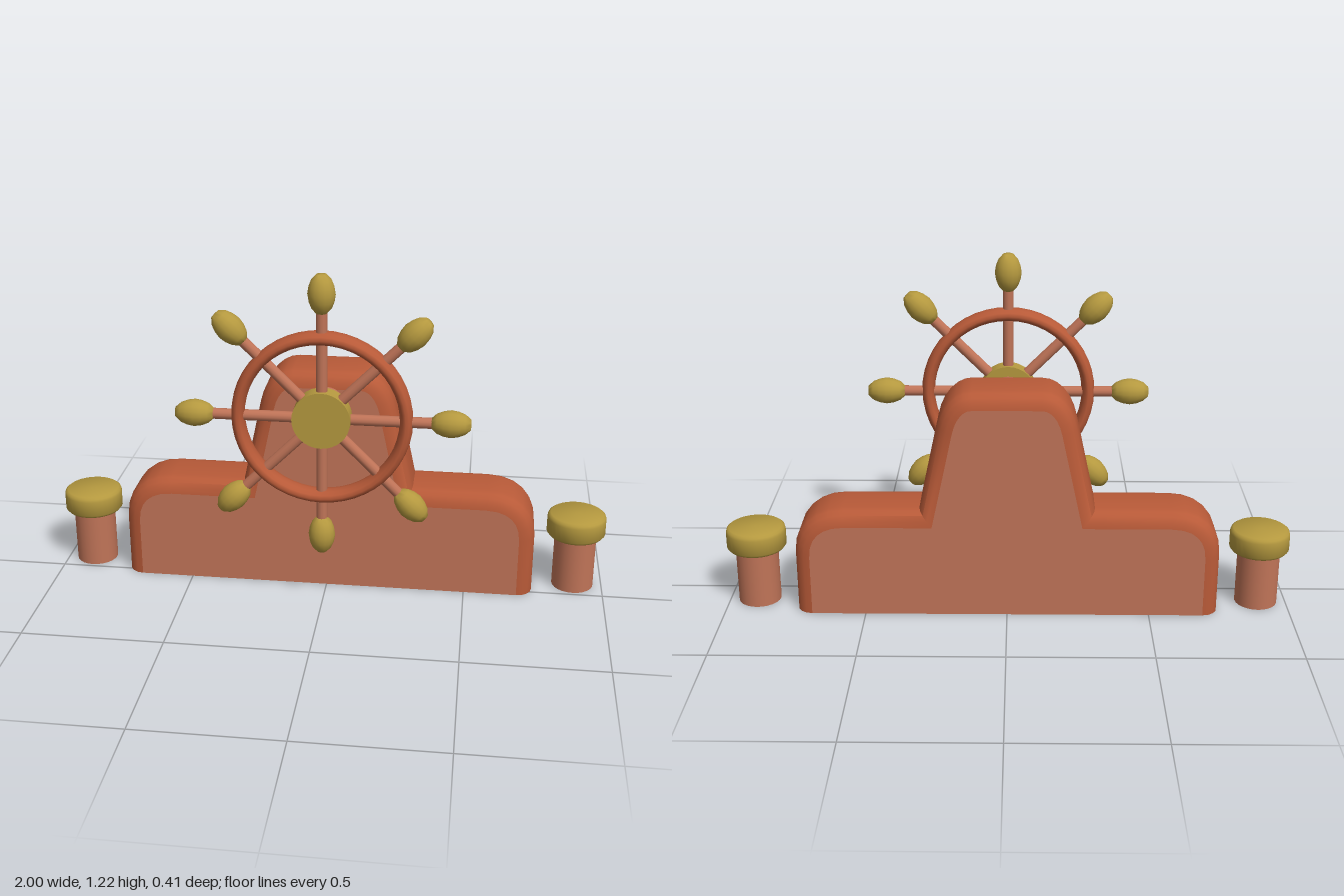
import * as THREE from 'three';
import { toCreasedNormals } from 'three/addons/utils/BufferGeometryUtils.js';

const wood = new THREE.MeshStandardMaterial({ color: 0xb85a38 });
const paleWood = new THREE.MeshStandardMaterial({ color: 0xc07458 });
const brass = new THREE.MeshStandardMaterial({ color: 0xb5993f });

function add(parent, name, geometry, material, x = 0, y = 0, z = 0) {
  const mesh = new THREE.Mesh(geometry, material);
  mesh.name = name;
  mesh.position.set(x, y, z);
  parent.add(mesh);
  return mesh;
}

// Stepped outline of the stand; it runs below the floor and is flattened to y = 0 later
function standShape() {
  const s = new THREE.Shape();
  s.moveTo(-0.745, -0.1);
  s.lineTo(0.745, -0.1);
  s.lineTo(0.745, 0.22);
  s.bezierCurveTo(0.745, 0.32, 0.68, 0.388, 0.57, 0.388);
  s.lineTo(0.305, 0.388);
  s.lineTo(0.24, 0.69);
  s.bezierCurveTo(0.225, 0.765, 0.18, 0.82, 0.12, 0.82);
  s.lineTo(-0.12, 0.82);
  s.bezierCurveTo(-0.18, 0.82, -0.225, 0.765, -0.24, 0.69);
  s.lineTo(-0.305, 0.388);
  s.lineTo(-0.57, 0.388);
  s.bezierCurveTo(-0.68, 0.388, -0.745, 0.32, -0.745, 0.22);
  s.closePath();
  return s;
}

// Splits the solid into pale flat faces (front, back, bottom) and the rounded trim
function addStand(parent) {
  const bevel = 0.055;
  const solid = new THREE.ExtrudeGeometry(standShape(), {
    depth: 0.235 - 2 * bevel, curveSegments: 6, bevelEnabled: true, bevelSegments: 4,
    bevelSize: bevel, bevelThickness: bevel, bevelOffset: -bevel,
  });
  solid.translate(0, 0, -0.205 + bevel);
  const p = solid.attributes.position;
  for (let i = 0; i < p.count; i++) p.setY(i, Math.max(0, p.getY(i)));

  const flat = [], round = [];
  const tri = new THREE.Triangle(), n = new THREE.Vector3();
  for (let i = 0; i < p.count; i += 3) {
    tri.setFromAttributeAndIndices(p, i, i + 1, i + 2);
    if (tri.getArea() < 1e-8) continue;
    tri.getNormal(n);
    const list = Math.abs(n.z) > 0.995 || n.y < -0.99 ? flat : round;
    for (const v of [tri.a, tri.b, tri.c]) list.push(v.x, v.y, v.z);
  }
  const build = (list) => {
    const g = new THREE.BufferGeometry();
    g.setAttribute('position', new THREE.Float32BufferAttribute(list, 3));
    return toCreasedNormals(g, 0.8);
  };
  add(parent, 'standPanels', build(flat), paleWood);
  add(parent, 'standTrim', build(round), wood);
}

function lathe(points, sides) {
  const g = new THREE.LatheGeometry(points.map(([x, y]) => new THREE.Vector2(x, y)), sides);
  return toCreasedNormals(g, 0.9);
}

function addWheel(parent) {
  const wheel = new THREE.Group();
  wheel.name = 'wheel';
  wheel.position.set(0, 0.71, 0.16);
  parent.add(wheel);

  // Rim is deeper than it is wide
  const rim = new THREE.TorusGeometry(0.287, 0.023, 12, 48);
  rim.scale(1, 1, 1.7);
  add(wheel, 'rim', rim, wood);

  const hub = new THREE.CylinderGeometry(0.1, 0.1, 0.06, 32).rotateX(Math.PI / 2);
  add(wheel, 'hub', hub, brass);

  const spoke = new THREE.CylinderGeometry(0.019, 0.019, 0.36, 12);
  const grip = lathe([[0, -0.068], [0.018, -0.066], [0.034, -0.048], [0.043, -0.025], [0.047, 0],
    [0.043, 0.025], [0.034, 0.048], [0.018, 0.066], [0, 0.068]], 16);
  for (let i = 0; i < 8; i++) {
    const arm = new THREE.Group();
    arm.name = 'arm';
    arm.rotation.z = (i * Math.PI) / 4;
    wheel.add(arm);
    add(arm, 'spoke', spoke, paleWood, 0, 0.22);
    add(arm, 'grip', grip, brass, 0, 0.437);
  }
}

export function createModel() {
  const model = new THREE.Group();
  model.name = 'shipHelm';
  addStand(model);

  // Axle joins the stand to the hub
  const axle = new THREE.CylinderGeometry(0.064, 0.064, 0.2, 24).rotateX(Math.PI / 2);
  add(model, 'axle', axle, paleWood, 0, 0.71, 0.05);
  addWheel(model);

  // Capped posts at both sides
  const cap = lathe([[0, 0.205], [0.097, 0.205], [0.105, 0.215], [0.105, 0.27], [0.102, 0.28],
    [0.094, 0.286], [0, 0.286]], 32);
  const post = new THREE.CylinderGeometry(0.075, 0.075, 0.22, 24);
  for (const side of [-1, 1]) {
    add(model, 'post', post, paleWood, side * 0.895, 0.11, -0.087);
    add(model, 'postCap', cap, brass, side * 0.895, 0, -0.087);
  }
  return model;
}
